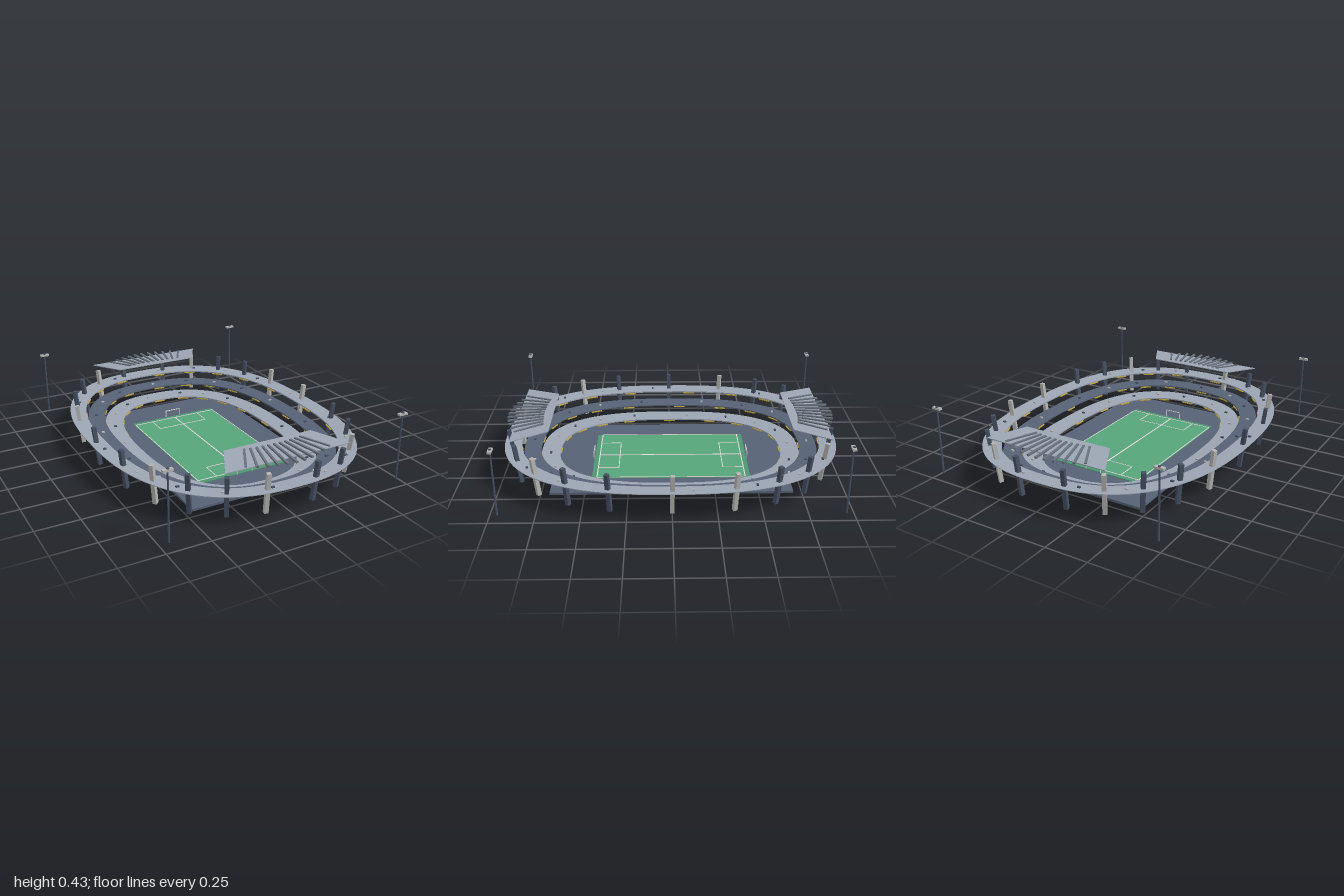
import * as THREE from 'three';

const mat = (name, color) => {
  const m = new THREE.MeshStandardMaterial({ color });
  m.name = name;
  return m;
};

// Point on the rounded-oval plan with half-axes a (x) and b (z)
const oval = (a, b, t, y = 0) => {
  const f = (v) => Math.sign(v) * Math.pow(Math.abs(v), 0.8);
  return new THREE.Vector3(a * f(Math.cos(t)), y, b * f(Math.sin(t)));
};

// Closed oval ring swept from a four-point section
function ringGeometry(inner, outer, yIn, yOut, n = 96) {
  const section = [
    [inner, yIn + 0.008], [outer, yOut + 0.004], [outer, yOut], [inner, yIn],
  ];
  const pos = [];
  const at = (i, j) => {
    const [[a, b], y] = section[j % 4];
    return oval(a, b, ((i % n) / n) * Math.PI * 2, y).toArray();
  };
  for (let i = 0; i < n; i++) {
    for (let j = 0; j < 4; j++) {
      const A = at(i, j), B = at(i, j + 1), C = at(i + 1, j), D = at(i + 1, j + 1);
      pos.push(...A, ...C, ...B, ...B, ...C, ...D);
    }
  }
  const g = new THREE.BufferGeometry();
  g.setAttribute('position', new THREE.Float32BufferAttribute(pos, 3));
  g.computeVertexNormals();
  return g;
}

export function createModel() {
  const model = new THREE.Group();
  model.name = 'stadium';

  const paleGrey = mat('pale concrete', 0x9ca5b3);
  const slate = mat('slate', 0x566275);
  const green = mat('grass', 0x57a57b);
  const darkGreen = mat('dark grass', 0x4c9770);
  const white = mat('line white', 0xdcdad8);
  const yellow = mat('yellow', 0xc9ac3a);
  const darkSteel = mat('dark steel', 0x465163);
  const lightSteel = mat('light steel', 0xb4b4b2);
  const ribGrey = mat('rib grey', 0x68717d);

  const box = (name, m, w, h, d, x, y, z, parent = model) => {
    const mesh = new THREE.Mesh(new THREE.BoxGeometry(w, h, d), m);
    mesh.name = name;
    mesh.position.set(x, y, z);
    parent.add(mesh);
    return mesh;
  };
  const beam = (name, m, a, b, w, h, parent = model) => {
    const mid = a.clone().add(b).multiplyScalar(0.5);
    const mesh = box(name, m, w, h, a.distanceTo(b), mid.x, mid.y, mid.z, parent);
    mesh.lookAt(b);
    return mesh;
  };

  // Ground slab and pitch
  box('baseSlab', slate, 0.91, 0.014, 1.4, 0, 0.007, 0);
  box('pitch', green, 0.58, 0.004, 0.89, 0, 0.016, 0);
  for (const s of [-1, 1]) {
    box('pitchEnd', darkGreen, 0.58, 0.004, 0.025, 0, 0.016, s * 0.4575);
  }

  // Pitch markings
  const line = (w, d, x, z) => box('pitchLine', white, w, 0.002, d, x, 0.019, z);
  line(0.008, 0.88, 0, 0);
  for (const s of [-1, 1]) {
    line(0.005, 0.88, s * 0.285, 0);
    line(0.57, 0.006, 0, s * 0.44);
    line(0.33, 0.005, 0, s * 0.315);
    for (const k of [-1, 1]) line(0.005, 0.125, k * 0.165, s * 0.3775);
    // Goal frame
    for (const k of [-1, 1]) box('goalPost', white, 0.004, 0.045, 0.004, k * 0.05, 0.04, s * 0.474);
    box('goalBar', white, 0.104, 0.004, 0.004, 0, 0.061, s * 0.474);
  }

  // Seating tiers with yellow boards under the inner edge and small gates on top
  const tiers = [
    { inner: [0.435, 0.68], outer: [0.543, 0.795], y: 0.056, m: paleGrey },
    { inner: [0.55, 0.79], outer: [0.65, 0.892], y: 0.107, m: slate },
    { inner: [0.662, 0.9], outer: [0.757, 1.0], y: 0.162, m: paleGrey },
  ];
  tiers.forEach(({ inner, outer, y, m }, k) => {
    const tier = new THREE.Mesh(ringGeometry(inner, outer, y, y + 0.01), m);
    tier.name = 'seatingTier' + (k + 1);
    model.add(tier);

    const boards = 20;
    for (let i = 0; i < boards; i++) {
      const t = ((i + 0.15 * k) / boards) * Math.PI * 2;
      const [a, b] = [inner[0] + 0.01, inner[1] + 0.01];
      const dir = oval(a, b, t + 0.03).sub(oval(a, b, t - 0.03)).setLength(0.036);
      const c = oval(a, b, t, y - 0.003);
      beam('edgeBoard', yellow, c.clone().sub(dir), c.clone().add(dir), 0.032, 0.007);
    }

    const gates = 18;
    for (let i = 0; i < gates; i++) {
      const t = ((i + 0.3 + 0.25 * k) / gates) * Math.PI * 2;
      const p = oval((inner[0] + outer[0]) / 2, (inner[1] + outer[1]) / 2, t, y + 0.014);
      box('gate', i % 2 ? lightSteel : darkSteel, 0.018, 0.01, 0.012, p.x, p.y, p.z);
    }
  });

  // Outward-leaning pillars round the top tier
  for (let i = 0; i < 22; i++) {
    const t = (i / 22) * Math.PI * 2;
    beam('pillar', i % 3 === 0 ? lightSteel : darkSteel,
      oval(0.7, 0.94, t, 0.03), oval(0.728, 0.968, t, 0.27), 0.024, 0.024);
  }

  // Tapered roof with fanned ribs at each end
  for (const turn of [0, Math.PI]) {
    const roof = new THREE.Group();
    roof.name = 'endRoof';
    const g = new THREE.BoxGeometry(1, 0.005, 0.21);
    const p = g.attributes.position;
    for (let i = 0; i < p.count; i++) {
      p.setX(i, p.getX(i) * (p.getZ(i) > 0 ? 0.77 : 0.55));
    }
    g.computeVertexNormals();
    const panel = new THREE.Mesh(g, paleGrey);
    panel.name = 'roofPanel';
    panel.position.set(0, 0.311, 0.815);
    panel.rotation.x = 0.06;
    roof.add(panel);
    for (let i = -5; i <= 5; i++) {
      const u = i / 5;
      beam('roofRib', ribGrey,
        new THREE.Vector3(0.175 * u, 0.319, 0.765 - 0.015 * u * u),
        new THREE.Vector3(0.26 * u, 0.308, 0.985 - 0.075 * u * u), 0.013, 0.011, roof);
    }
    roof.rotation.y = turn;
    model.add(roof);
  }

  // Floodlight masts at the corners
  for (const sx of [-1, 1]) {
    for (const sz of [-1, 1]) {
      const x = sx * 0.71, z = sz * 0.95;
      const pole = new THREE.Mesh(new THREE.CylinderGeometry(0.005, 0.006, 0.39, 8), darkSteel);
      pole.name = 'floodlightMast';
      pole.position.set(x, 0.222, z);
      model.add(pole);
      box('floodlightHead', lightSteel, 0.056, 0.012, 0.022, x, 0.419, z);
      box('floodlightCap', darkSteel, 0.012, 0.014, 0.014, x, 0.423, z);
    }
  }

  return model;
}
